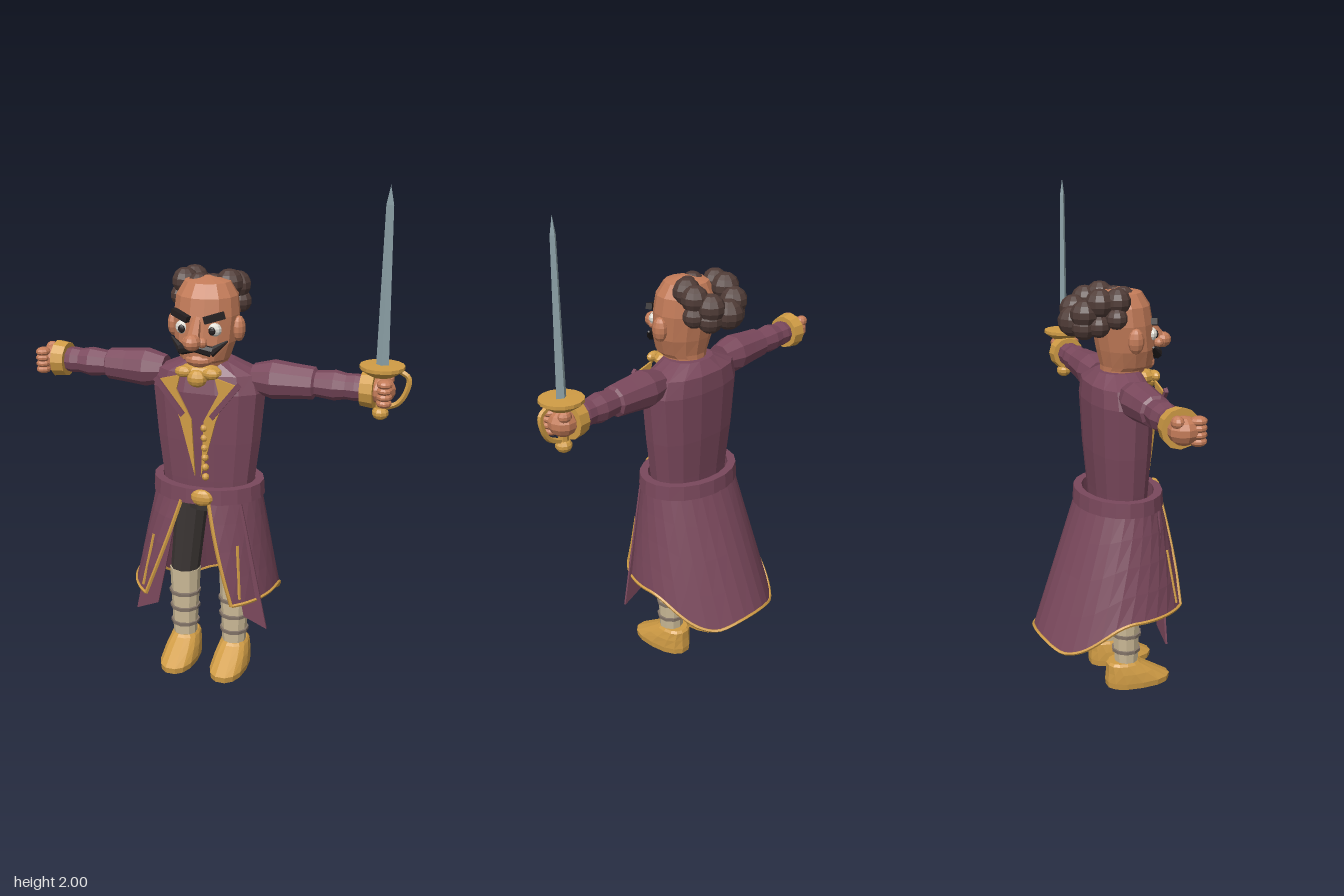
import * as THREE from 'three';

const mat = (name, color, side = THREE.FrontSide) => {
  const m = new THREE.MeshStandardMaterial({ color, side });
  m.name = name;
  return m;
};
const M = {
  coat: mat('plum coat', 0x7a485c, THREE.DoubleSide),
  gold: mat('gold', 0xd09c45),
  skin: mat('skin', 0xc47c59),
  hair: mat('brown hair', 0x503c37),
  trouser: mat('dark trousers', 0x3c3634),
  sock: mat('cream stockings', 0xcdbb98),
  band: mat('stocking bands', 0x85766a),
  steel: mat('steel', 0x8fa4aa),
  black: mat('black', 0x241f20),
  white: mat('eye white', 0xdedbd2),
};
const V = (x, y, z) => new THREE.Vector3(x, y, z);
const lerp = THREE.MathUtils.lerp;

// Faceted mesh added to a parent
function add(parent, name, geo, material, x = 0, y = 0, z = 0) {
  const g = geo.index ? geo.toNonIndexed() : geo;
  g.computeVertexNormals();
  const m = new THREE.Mesh(g, material);
  m.name = name;
  m.position.set(x, y, z);
  parent.add(m);
  return m;
}

// Surface from point(u, v), both in 0..1
function grid(point, nu, nv) {
  const pos = [], idx = [];
  for (let j = 0; j <= nv; j++) for (let i = 0; i <= nu; i++) pos.push(...point(i / nu, j / nv, j).toArray());
  for (let j = 0; j < nv; j++) for (let i = 0; i < nu; i++) {
    const a = j * (nu + 1) + i, b = a + 1, c = a + nu + 1, d = c + 1;
    idx.push(a, b, d, a, d, c);
  }
  const g = new THREE.BufferGeometry();
  g.setAttribute('position', new THREE.Float32BufferAttribute(pos, 3));
  g.setIndex(idx);
  return g;
}

// Stack of rings, bottom to top: [y, rx, centre z, rz]; p < 1 makes them boxier
function loft(rings, n = 14, p = 1) {
  const pw = (s) => Math.sign(s) * Math.pow(Math.abs(s), p);
  return grid((u, v, j) => {
    const [y, rx, cz, rz] = rings[j], a = u * Math.PI * 2 + Math.PI / n;
    return V(rx * pw(Math.sin(a)), y, cz + rz * pw(Math.cos(a)));
  }, n, rings.length - 1);
}

// Tapered cylinder between two points
function limb(a, b, ra, rb, n = 10) {
  const d = b.clone().sub(a);
  const g = new THREE.CylinderGeometry(rb, ra, d.length(), n);
  g.applyQuaternion(new THREE.Quaternion().setFromUnitVectors(V(0, 1, 0), d.normalize()));
  return g.translate((a.x + b.x) / 2, (a.y + b.y) / 2, (a.z + b.z) / 2);
}
const ball = (sx, sy = sx, sz = sx) => new THREE.SphereGeometry(1, 10, 7).scale(sx, sy, sz);
const tube = (pts, r, n = 24) => new THREE.TubeGeometry(new THREE.CatmullRomCurve3(pts), n, r, 5);
function plate(pts, side, depth = 0.008) {
  const s = new THREE.Shape(pts.map(([x, y]) => new THREE.Vector2(x * side, y)));
  return new THREE.ExtrudeGeometry(s, { depth, bevelEnabled: false });
}

// Point on the flared skirt: angle from the front, t from waist to hem
function skirtAt(a, t) {
  const c = Math.cos(a), k = Math.min(1, Math.max(0, -c / 0.85));
  const hem = 0.365 - 0.14 * k * k * (3 - 2 * k) + (c < -0.85 ? (-c - 0.85) * 0.22 : 0);
  return V(lerp(0.212, 0.295, t) * Math.sin(a) - 0.02 * t, lerp(0.8, hem, t), lerp(0.065, 0.02, t) + lerp(0.165, 0.31, t) * c);
}
const opening = (t) => lerp(0.24, 0.66, t);

function buildCoat(g) {
  add(g, 'torso', loft([[0.76, 0.18, 0.06, 0.1], [0.84, 0.19, 0.06, 0.106], [1.0, 0.21, 0.057, 0.118],
    [1.2, 0.228, 0.055, 0.126], [1.27, 0.205, 0.05, 0.115], [1.315, 0.1, 0.06, 0.085], [1.315, 0, 0.06, 0]], 14, 0.85), M.coat);
  add(g, 'belt', loft([[0.77, 0.228, 0.065, 0.177], [0.83, 0.224, 0.065, 0.173], [0.83, 0.19, 0.065, 0.14],
    [0.77, 0.19, 0.065, 0.14], [0.77, 0.228, 0.065, 0.177]], 20), M.coat);
  add(g, 'buckle', ball(0.045, 0.034, 0.02), M.gold, 0.03, 0.8, 0.238);
  add(g, 'skirt', grid((u, v) => skirtAt(lerp(opening(1 - v), Math.PI * 2 - opening(1 - v), u), 1 - v), 26, 4), M.coat);

  // Gold edging down the front, around the hem and up again
  const hem = [];
  for (let i = 0; i <= 32; i++) hem.push(skirtAt(lerp(opening(1), Math.PI * 2 - opening(1), i / 32), 1));
  add(g, 'hemTrim', tube(hem, 0.007, 64), M.gold);
  for (const s of [-1, 1]) {
    const edge = [0.05, 0.35, 0.7, 1].map((t) => skirtAt(s * opening(t), t));
    add(g, 'frontTrim', tube(edge, 0.008), M.gold);
    const pocket = [0.45, 0.7, 0.95].map((t) => skirtAt(s * 0.78, t));
    add(g, 'pocketTrim', tube(pocket, 0.006, 8), M.gold);
    // Flat hanging flaps
    add(g, 'flap', plate([[0.08, 0.78], [0.17, 0.78], [0.28, 0.24], [0.185, 0.28]], s), M.coat, 0, 0, 0.17);
    // Lapels
    add(g, 'lapelFacing', plate([[0.16, 1.25], [0.07, 1.275], [0.085, 1.215], [0.025, 1.1], [0.012, 0.87], [0.072, 1.1], [0.1, 1.17]], s), M.gold, 0, 0, 0.19);
    add(g, 'lapel', plate([[0.175, 1.25], [0.16, 1.265], [0.05, 1.125], [0.065, 1.11]], s, 0.015), M.coat, 0, 0, 0.193);
  }
  for (let i = 0; i < 6; i++) add(g, 'button', ball(0.015), M.gold, 0.03 - i * 0.001, 0.87 + i * 0.04, 0.192);
}

function buildLegs(g) {
  add(g, 'hips', loft([[0.7, 0, 0.06, 0], [0.7, 0.1, 0.06, 0.08], [0.8, 0.13, 0.06, 0.095]], 12), M.trouser);
  for (const s of [-1, 1]) {
    const x = 0.108 * s;
    add(g, 'trouserLeg', limb(V(x, 0.4, 0.06), V(s * 0.068, 0.78, 0.06), 0.06, 0.068, 10), M.trouser);
    add(g, 'stocking', limb(V(x, 0.08, 0.068), V(x, 0.405, 0.06), 0.048, 0.064, 10), M.sock);
    [0.16, 0.23, 0.3].forEach((y, i) => {
      add(g, 'stockingBand', new THREE.CylinderGeometry(0.06 + i * 0.003, 0.059 + i * 0.003, 0.014, 10), M.band, x, y, 0.066);
    });
    add(g, 'shoe', loft([[0, 0, 0.11, 0], [0, 0.07, 0.117, 0.135], [0.025, 0.073, 0.117, 0.138], [0.065, 0.068, 0.085, 0.102],
      [0.1, 0.058, 0.056, 0.072], [0.11, 0.05, 0.055, 0.062], [0.11, 0, 0.055, 0]], 14, 0.85), M.gold, x);
  }
}

function buildHead(g) {
  add(g, 'head', loft([[1.25, 0.075, 0.07, 0.075], [1.32, 0.085, 0.085, 0.09], [1.335, 0.098, 0.1, 0.105], [1.4, 0.12, 0.095, 0.116],
    [1.5, 0.128, 0.08, 0.12], [1.57, 0.12, 0.075, 0.112], [1.62, 0.09, 0.07, 0.085], [1.64, 0, 0.07, 0]], 14), M.skin);
  add(g, 'chin', ball(0.055, 0.03, 0.04), M.skin, 0, 1.337, 0.175);
  add(g, 'noseBridge', limb(V(0, 1.425, 0.24), V(0, 1.5, 0.19), 0.026, 0.015, 6), M.skin);
  add(g, 'noseTip', ball(0.034, 0.032, 0.037), M.skin, 0, 1.42, 0.249);
  for (const s of [-1, 1]) {
    add(g, 'nostril', ball(0.02), M.skin, s * 0.03, 1.415, 0.222);
    add(g, 'ear', ball(0.026, 0.05, 0.032), M.skin, s * 0.13, 1.447, 0.09);
    add(g, 'eye', ball(0.03, 0.027, 0.022), M.white, s * 0.062, 1.458, 0.178);
    add(g, 'pupil', ball(0.014, 0.016, 0.008), M.black, s * 0.06, 1.456, 0.199);
    const brow = add(g, 'eyebrow', new THREE.BoxGeometry(0.082, 0.024, 0.025), M.black, s * 0.066, 1.505, 0.19);
    brow.rotation.set(0, s * 0.42, s * 0.25);
    add(g, 'moustacheInner', limb(V(0, 1.395, 0.222), V(s * 0.06, 1.378, 0.205), 0.018, 0.02, 7), M.black);
    add(g, 'moustacheTip', limb(V(s * 0.055, 1.376, 0.206), V(s * 0.112, 1.415, 0.168), 0.02, 0.004, 7), M.black);
  }
  // Curls: x, y, z, radius
  const curls = [[-0.11, 1.6, 0.02, 0.052], [-0.132, 1.54, 0.01, 0.042], [-0.095, 1.595, -0.045, 0.056], [-0.035, 1.6, 0.07, 0.046],
    [0.015, 1.6, 0.05, 0.042], [0.065, 1.6, 0.01, 0.055], [0.08, 1.585, -0.045, 0.054], [-0.08, 1.555, -0.1, 0.055], [0.05, 1.555, -0.1, 0.055],
    [-0.02, 1.52, -0.125, 0.06], [-0.075, 1.505, -0.1, 0.05], [0.05, 1.505, -0.095, 0.05], [-0.1, 1.51, -0.05, 0.045], [0.09, 1.52, -0.05, 0.045]];
  for (const [x, y, z, r] of curls) add(g, 'hairCurl', ball(r), M.hair, x, y, z);
  // Cravat
  add(g, 'neckcloth', ball(0.085, 0.035, 0.05), M.gold, 0, 1.285, 0.155);
  add(g, 'cravatKnot', ball(0.04, 0.034, 0.03), M.gold, 0, 1.268, 0.2);
  for (const s of [-1, 1]) add(g, 'cravatBow', ball(0.035, 0.022, 0.02), M.gold, s * 0.055, 1.29, 0.198);
}

function buildArm(side) {
  const arm = new THREE.Group();
  arm.name = side > 0 ? 'leftArm' : 'rightArm';
  const profile = [[0, 0.18], [0.055, 0.18], [0.076, 0.26], [0.068, 0.34], [0.062, 0.42], [0.05, 0.428],
    [0.058, 0.5], [0.049, 0.545], [0.052, 0.58], [0.046, 0.62]].map(([r, y]) => new THREE.Vector2(r, y));
  add(arm, 'sleeve', new THREE.LatheGeometry(profile, 10).rotateZ(-Math.PI / 2), M.coat);
  add(arm, 'cuff', new THREE.CylinderGeometry(0.074, 0.068, 0.05, 12).rotateZ(-Math.PI / 2), M.gold, 0.628);
  add(arm, 'palm', ball(0.055, 0.052, 0.058), M.skin, 0.675);
  for (let i = 0; i < 4; i++) add(arm, 'finger', ball(0.03, 0.018, 0.032), M.skin, 0.695, 0.035 - i * 0.024, side * 0.045);
  add(arm, 'thumb', ball(0.028, 0.024, 0.024), M.skin, 0.69, 0.035, -side * 0.03);
  arm.position.set(0, 1.25, 0.055);
  if (side < 0) arm.rotation.y = Math.PI;
  return arm;
}

function buildSword() {
  const sword = new THREE.Group();
  sword.name = 'sword';
  add(sword, 'blade', new THREE.CylinderGeometry(0.014, 0.024, 0.6, 4).scale(1, 1, 0.7), M.steel, 0, 1.63);
  add(sword, 'bladeTip', new THREE.ConeGeometry(0.014, 0.07, 4).scale(1, 1, 0.7), M.steel, 0, 1.965);
  add(sword, 'guardCup', loft([[1.305, 0, 0, 0], [1.305, 0.045, 0, 0.045], [1.325, 0.075, 0, 0.075], [1.332, 0.084, 0, 0.084],
    [1.345, 0.084, 0, 0.084], [1.347, 0, 0, 0]], 16), M.gold);
  add(sword, 'grip', new THREE.CylinderGeometry(0.02, 0.02, 0.17, 8), M.gold, 0, 1.24);
  add(sword, 'pommel', ball(0.032, 0.027, 0.032), M.gold, 0, 1.16);
  add(sword, 'knuckleBow', tube([V(0.065, 1.33, 0), V(0.1, 1.305, 0), V(0.095, 1.255, 0), V(0.065, 1.205, 0), V(0.01, 1.18, 0)], 0.011), M.gold);
  sword.position.set(0.675, 0, 0.055);
  return sword;
}

export function createModel() {
  const model = new THREE.Group();
  model.name = 'swordsman';
  const figure = new THREE.Group();
  figure.name = 'figure';
  figure.position.x = -0.03;
  model.add(figure);
  for (const [name, build] of [['coat', buildCoat], ['legs', buildLegs], ['head', buildHead]]) {
    const part = new THREE.Group();
    part.name = name;
    build(part);
    figure.add(part);
  }
  figure.add(buildArm(1), buildArm(-1), buildSword());
  return model;
}
